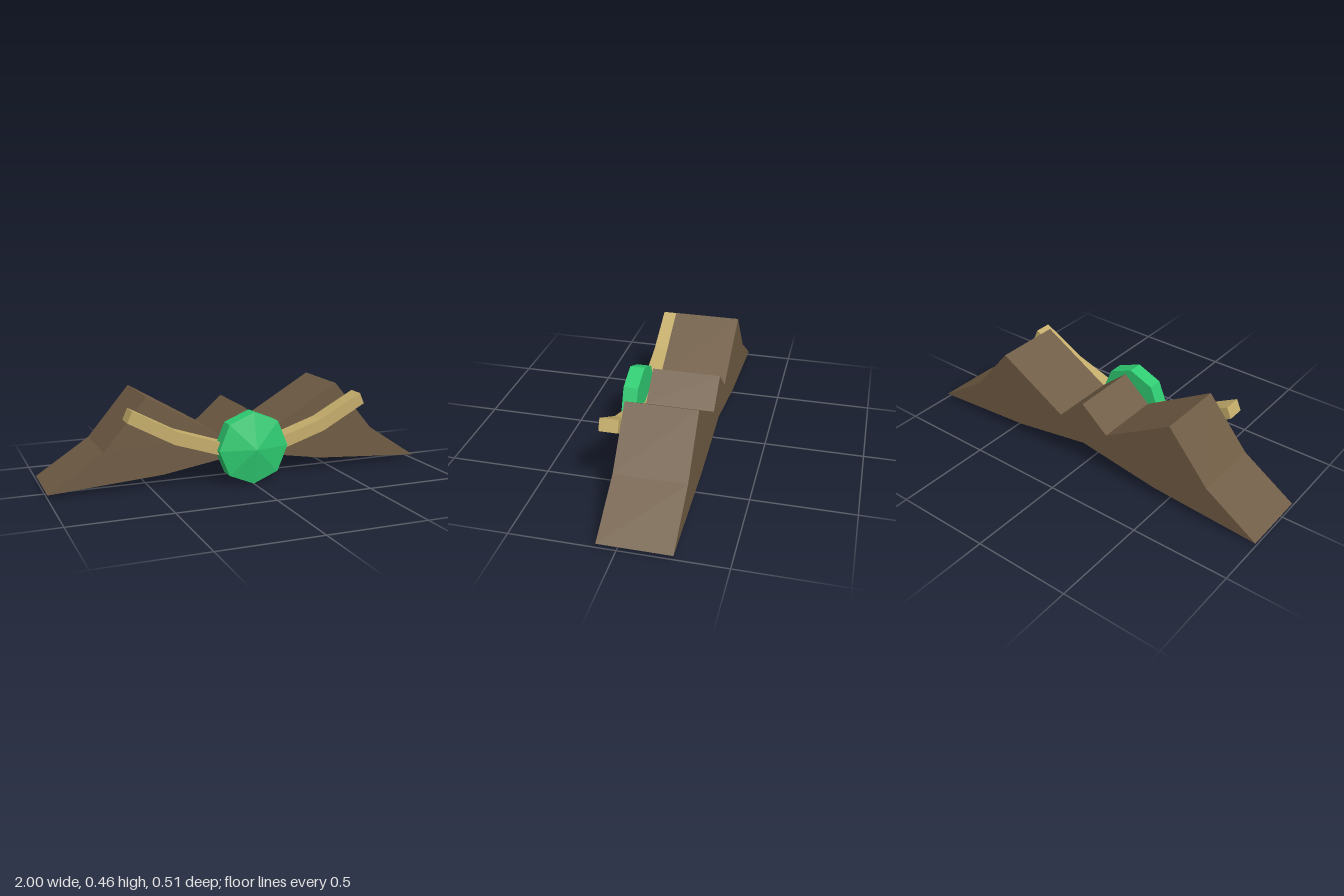
import * as THREE from 'three';

const paint = (color) => new THREE.MeshStandardMaterial({ color, flatShading: true });

// Closed outline mirrored across x = 0, extruded between two depths.
// `lower` and `upper` run from the centre outwards on the +x side.
function mirroredSlab(name, lower, upper, zBack, zFront, material) {
  const half = [...lower, ...[...upper].reverse()];
  const other = [...half].reverse().slice(1, -1).map(([x, y]) => [-x, y]);
  const outline = [...half, ...other].map(([x, y]) => new THREE.Vector2(x, y));
  const geometry = new THREE.ExtrudeGeometry(new THREE.Shape(outline), {
    depth: zFront - zBack,
    bevelEnabled: false,
  });
  geometry.translate(0, 0, zBack);
  const mesh = new THREE.Mesh(geometry, material);
  mesh.name = name;
  return mesh;
}

export function createModel() {
  const group = new THREE.Group();
  group.name = 'wingedBrooch';

  // Thick wing body with two tall peaks and a small middle one
  group.add(mirroredSlab(
    'wings',
    [[0, 0.13], [0.43, 0.06], [1, 0.02]],
    [[0, 0.365], [0.145, 0.24], [0.51, 0.455], [0.725, 0.2]],
    -0.254, 0.093, paint(0x6f5b43),
  ));

  // Bent band across the front, running behind the gem
  group.add(mirroredSlab(
    'band',
    [[0, 0.1], [0.4, 0.23], [0.63, 0.355]],
    [[0, 0.165], [0.38, 0.29], [0.605, 0.411]],
    0.093, 0.184, paint(0xc4ad6a),
  ));

  // Eight-sided gem with a shallow point at the front
  const profile = [[0, 0.138], [0.182, 0.138], [0.182, 0.214], [0, 0.254]];
  const gemGeometry = new THREE.LatheGeometry(
    profile.map(([r, d]) => new THREE.Vector2(r, d)), 8);
  gemGeometry.rotateX(Math.PI / 2);
  const gem = new THREE.Mesh(gemGeometry, paint(0x2ecc71));
  gem.name = 'gem';
  gem.position.y = 0.182;
  group.add(gem);

  return group;
}
